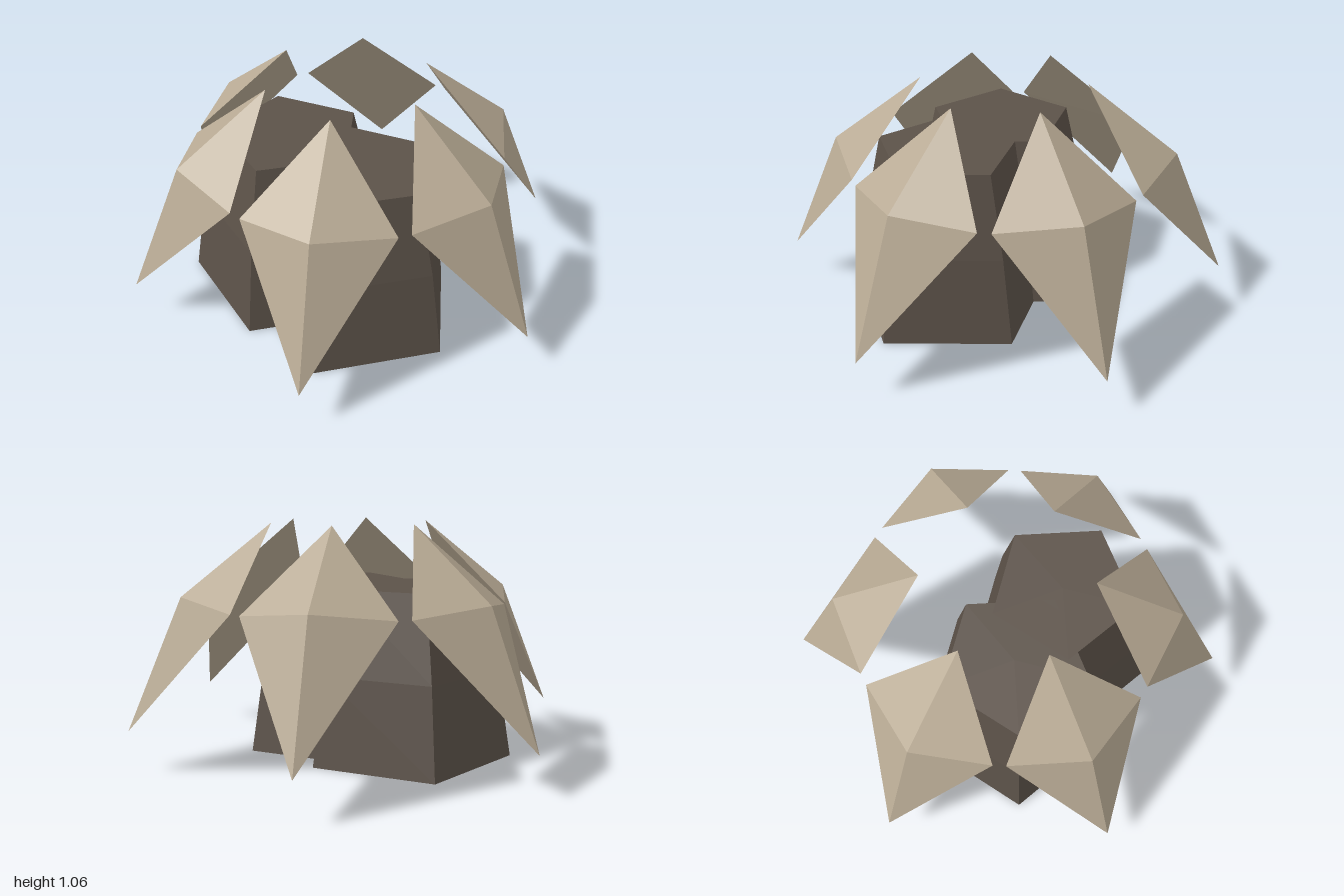
import * as THREE from 'three';

const shellMaterial = new THREE.MeshStandardMaterial({ color: 0xb8aa94, flatShading: true });
shellMaterial.name = 'pale stone';
const coreMaterial = new THREE.MeshStandardMaterial({ color: 0x5c5249, flatShading: true });
coreMaterial.name = 'dark stone';

// Four-sided shard pointing along +x: a flat kite base with a raised outer peak
function shardGeometry() {
  const top = [0.36, 1.06, 0];
  const left = [0.61, 0.712, 0.32];
  const tip = [1, 0.18, 0];
  const right = [0.61, 0.712, -0.32];
  const peak = [0.76, 0.75, 0];
  const rim = [top, left, tip, right];
  const corners = [];
  rim.forEach((p, i) => corners.push(p, rim[(i + 1) % 4], peak));
  corners.push(top, right, left, right, tip, left);
  const geometry = new THREE.BufferGeometry();
  geometry.setAttribute('position', new THREE.Float32BufferAttribute(corners.flat(), 3));
  geometry.computeVertexNormals();
  return geometry;
}

// Five-sided tapering stump with a bend halfway up
function stumpGeometry() {
  const profile = [[0, 0], [0.48, 0], [0.415, 0.4], [0.326, 0.775], [0, 0.775]];
  return new THREE.LatheGeometry(profile.map(([r, y]) => new THREE.Vector2(r, y)), 5, Math.PI / 2);
}

export function createModel() {
  const model = new THREE.Group();
  model.name = 'shardRing';

  // Core: two overlapping stumps, both turned the same way
  const stump = stumpGeometry();
  for (const [name, x] of [['leftStump', 0.195], ['rightStump', -0.195]]) {
    const mesh = new THREE.Mesh(stump, coreMaterial);
    mesh.name = name;
    mesh.position.set(x, 0, 0.16);
    model.add(mesh);
  }

  // Ring of six shards
  const shard = shardGeometry();
  for (let i = 0; i < 6; i++) {
    const mesh = new THREE.Mesh(shard, shellMaterial);
    mesh.name = `shard${i + 1}`;
    mesh.rotation.y = (i * Math.PI) / 3;
    model.add(mesh);
  }
  return model;
}
